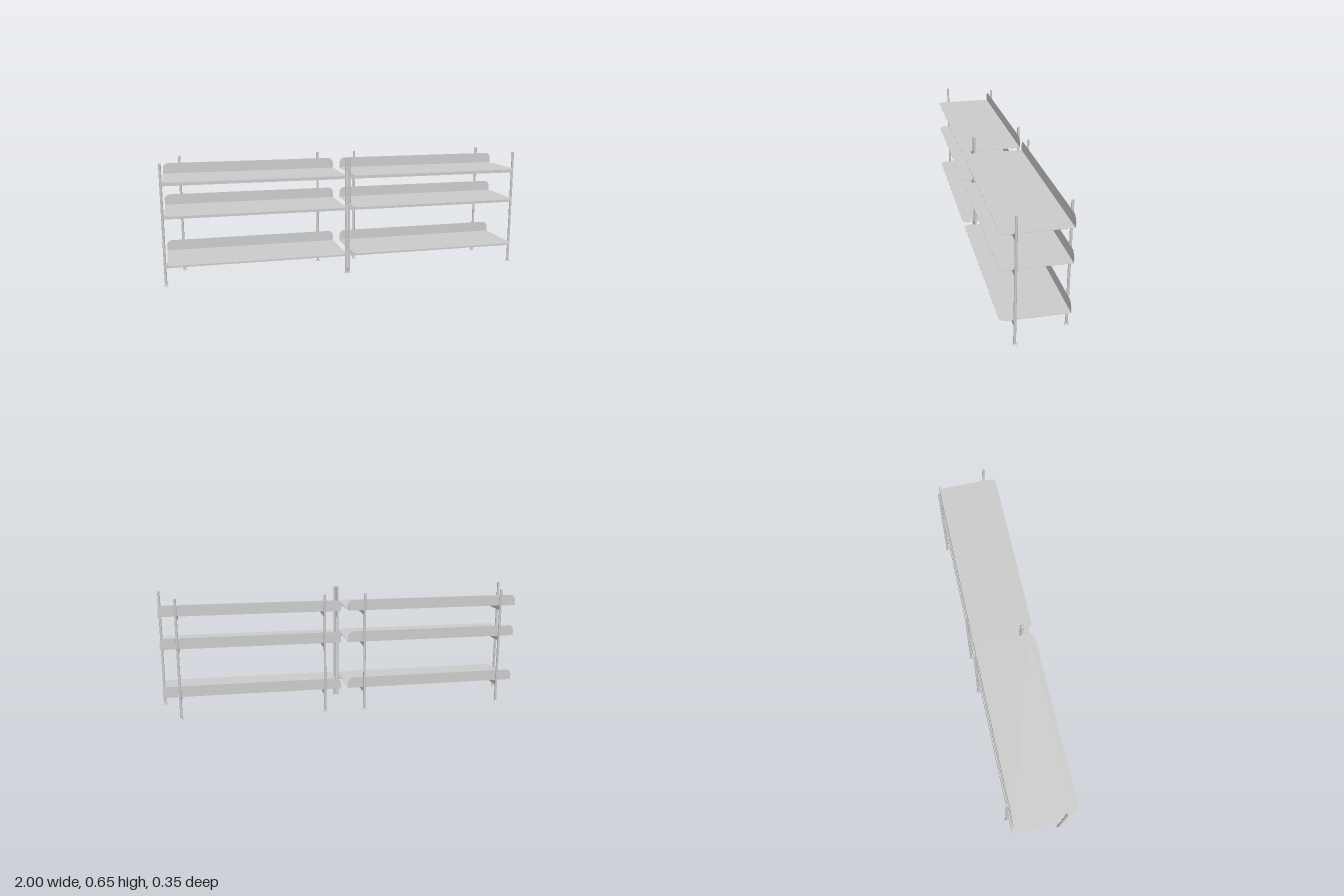
import * as THREE from 'three';

const material = new THREE.MeshStandardMaterial({ color: 0xcccccc });
const levels = [0.124, 0.385, 0.559]; // top of each shelf plate
const frontZ = 0.111, backZ = -0.1655; // post rows
const frontX = 0.49, backX = 0.388; // post offsets from the bay centre
const postR = 0.0066, sheet = 0.0016;
const shelfW = 0.956, shelfBack = -0.155, shelfFront = 0.177;
const barH = 0.0245, barW = 0.012;

function add(parent, name, geometry, x = 0, y = 0, z = 0) {
  const mesh = new THREE.Mesh(geometry, material);
  mesh.name = name;
  mesh.position.set(x, y, z);
  parent.add(mesh);
  return mesh;
}

// Thin sheet with a straight base and two rounded far corners
function roundedSheet(width, depth, r) {
  const w = width / 2;
  const s = new THREE.Shape();
  s.moveTo(-w, 0);
  s.lineTo(w, 0);
  s.lineTo(w, depth - r);
  s.absarc(w - r, depth - r, r, 0, Math.PI / 2, false);
  s.absarc(-w + r, depth - r, r, Math.PI / 2, Math.PI, false);
  s.closePath();
  return new THREE.ExtrudeGeometry(s, { depth: sheet, bevelEnabled: false, curveSegments: 10 });
}

// Upright tube on a flared levelling foot
function makePost(name, x, z) {
  const post = new THREE.Group();
  post.name = name;
  add(post, 'postTube', new THREE.CylinderGeometry(postR, postR, 0.643, 24), 0, 0.3285, 0);
  const foot = [[0, 0], [0.012, 0], [0.012, 0.0025], [0.009, 0.005], [0.005, 0.005], [0.005, 0.008]]
    .map(([r, y]) => new THREE.Vector2(r, y));
  const footGeometry = new THREE.LatheGeometry(foot, 24).toNonIndexed();
  footGeometry.computeVertexNormals();
  add(post, 'foot', footGeometry);
  post.position.set(x, 0, z);
  return post;
}

// Folded shelf with an upright rear lip, carried by a rail and two side bars
function makeShelf(y) {
  const shelf = new THREE.Group();
  shelf.name = 'shelf';
  const plate = add(shelf, 'shelfPlate', roundedSheet(shelfW, shelfFront - shelfBack, 0.03), 0, y, shelfBack);
  plate.rotation.x = Math.PI / 2;
  add(shelf, 'rearLip', roundedSheet(shelfW, 0.057, 0.03), 0, y, shelfBack);

  const barY = y - sheet - barH / 2;
  add(shelf, 'frontRail', new THREE.BoxGeometry(2 * frontX, barH, barW), 0, barY, frontZ);
  const length = frontZ - backZ;
  for (const side of [-1, 1]) {
    add(shelf, 'crossBar', new THREE.BoxGeometry(barW, barH, length), side * backX, barY, (frontZ + backZ) / 2);
  }
  return shelf;
}

function makeBay(name, x) {
  const bay = new THREE.Group();
  bay.name = name;
  for (const [label, side] of [['right', -1], ['left', 1]]) {
    bay.add(makePost(label + 'FrontPost', side * frontX, frontZ));
    bay.add(makePost(label + 'BackPost', side * backX, backZ));
  }
  for (const y of levels) bay.add(makeShelf(y));
  bay.position.x = x;
  return bay;
}

export function createModel() {
  const model = new THREE.Group();
  model.name = 'shelvingUnit';
  model.add(makeBay('rightBay', -0.498), makeBay('leftBay', 0.498));
  return model;
}
